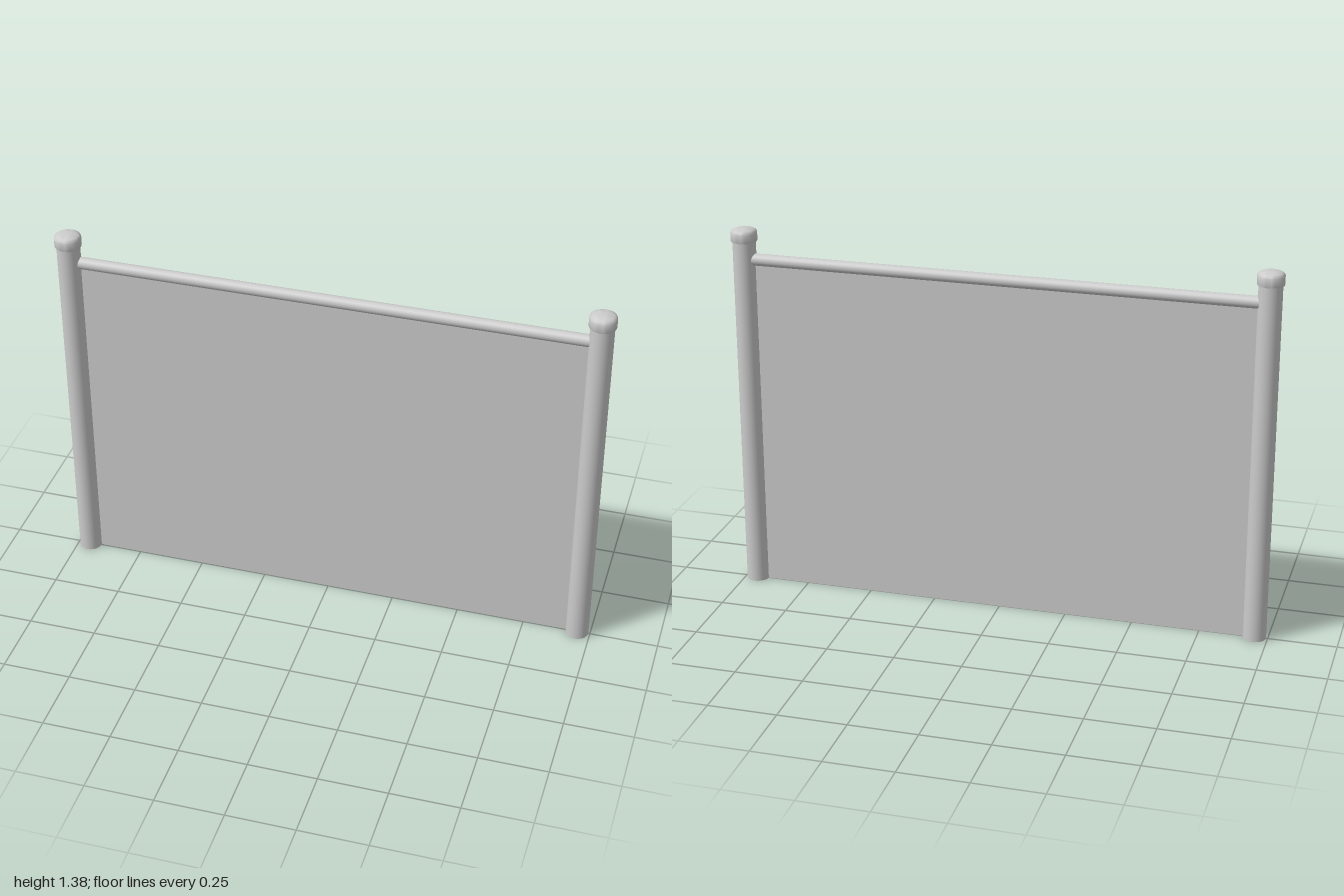
import * as THREE from 'three';
import { toCreasedNormals } from 'three/addons/utils/BufferGeometryUtils.js';

export function createModel() {
  const group = new THREE.Group();
  const grey = new THREE.MeshStandardMaterial({ color: 0xcccccc, side: THREE.DoubleSide });
  const add = (name, geometry, x, y, z) => {
    const mesh = new THREE.Mesh(geometry, grey);
    mesh.name = name;
    mesh.position.set(x, y, z);
    group.add(mesh);
    return mesh;
  };

  const postX = 0.952, postHeight = 1.34;

  // Hollow posts, open at the foot
  const postGeometry = new THREE.CylinderGeometry(0.042, 0.042, postHeight, 32, 1, true);

  // Post cap: straight skirt with a softly domed top
  const capProfile = [
    [0.041, 0], [0.047, 0], [0.048, 0.003], [0.048, 0.034], [0.046, 0.039],
    [0.038, 0.044], [0.026, 0.048], [0.013, 0.05], [0, 0.051],
  ].map(([r, y]) => new THREE.Vector2(r, y));
  const capGeometry = toCreasedNormals(new THREE.LatheGeometry(capProfile, 32), 0.7);

  for (const [side, label] of [[1, 'left'], [-1, 'right']]) {
    add(label + 'Post', postGeometry, side * postX, postHeight / 2, 0);
    add(label + 'PostCap', capGeometry, side * postX, 1.331, 0);
  }

  // Round top rail running into both posts
  const rail = add('topRail', new THREE.CylinderGeometry(0.022, 0.022, 1.84, 24), 0, 1.265, -0.003);
  rail.rotation.z = Math.PI / 2;

  // Thin infill sheet from the ground up to the rail
  add('panel', new THREE.PlaneGeometry(1.83, 1.262), 0, 0.631, -0.003);

  return group;
}
